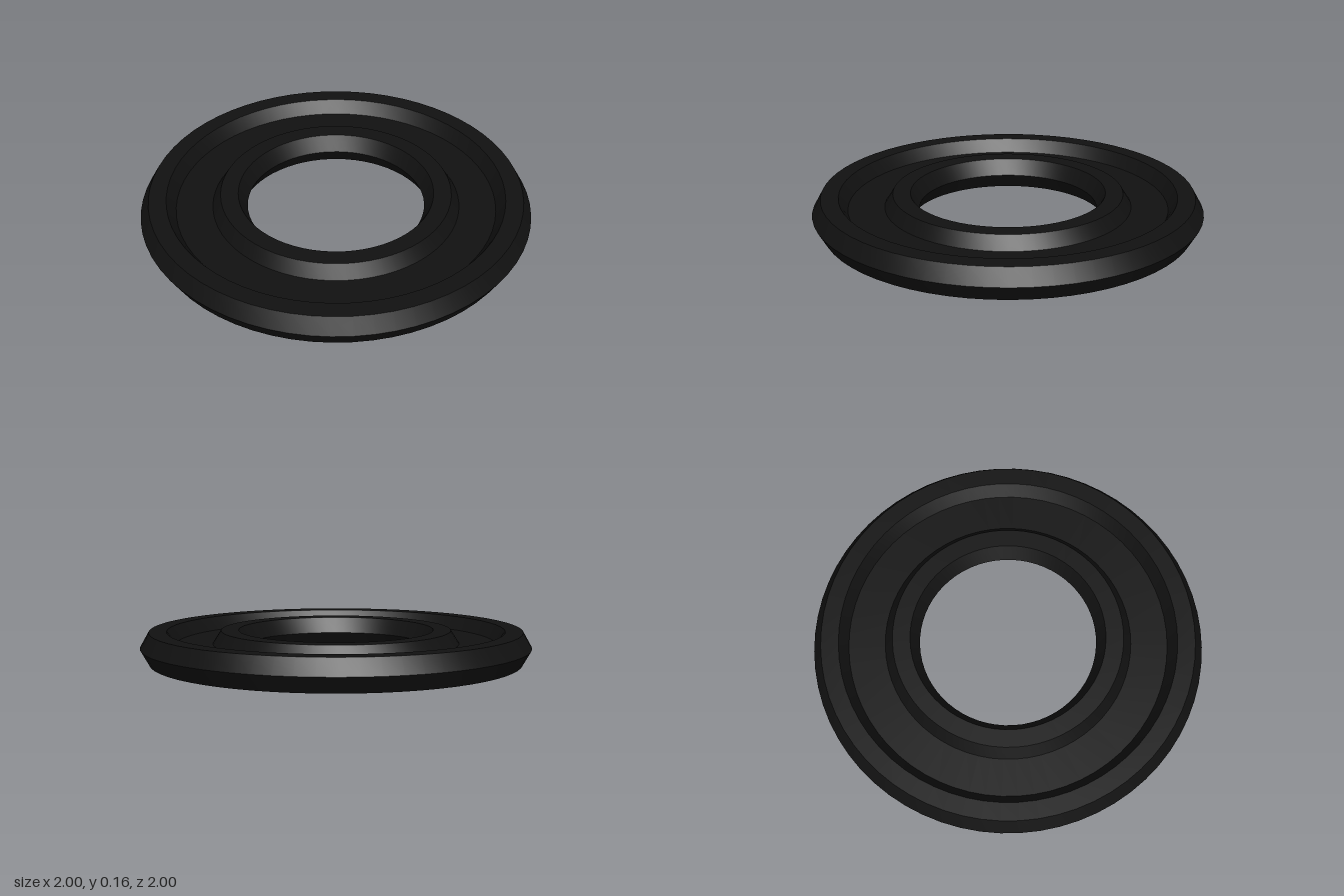
import * as THREE from 'three';
import { toCreasedNormals } from 'three/addons/utils/BufferGeometryUtils.js';

const SEGMENTS = 64;
const MID = 0.08; // height of the symmetry plane
const WEB = 0.012; // half thickness of the recessed web

// Revolve a [radius, height] profile, keeping the bevel edges sharp
function revolve(name, profile, color) {
  const points = profile.map(([r, y]) => new THREE.Vector2(r, y));
  const geometry = toCreasedNormals(new THREE.LatheGeometry(points, SEGMENTS), 0.5);
  const mesh = new THREE.Mesh(geometry, new THREE.MeshStandardMaterial({ color }));
  mesh.name = name;
  return mesh;
}

export function createModel() {
  const group = new THREE.Group();
  group.name = 'ring';

  // Upper half section, from the outer edge inwards
  const upper = [
    [1, MID], [0.955, 0.16], [0.865, 0.16], [0.82, MID + WEB],
    [0.633, MID + WEB], [0.59, 0.16], [0.5, 0.16], [0.455, MID],
  ];
  // The underside mirrors the top, open where the lighter band sits
  const lower = upper.map(([r, y]) => [r, 2 * MID - y]);
  const body = [...lower.slice(0, 4).reverse(), ...upper.slice(1), ...lower.slice(4, 7).reverse()];
  group.add(revolve('ringBody', body, 0x111111));

  // Lighter band at the bottom of the underside groove
  group.add(revolve('undersideBand', [lower[4], lower[3]], 0x555555));

  return group;
}
